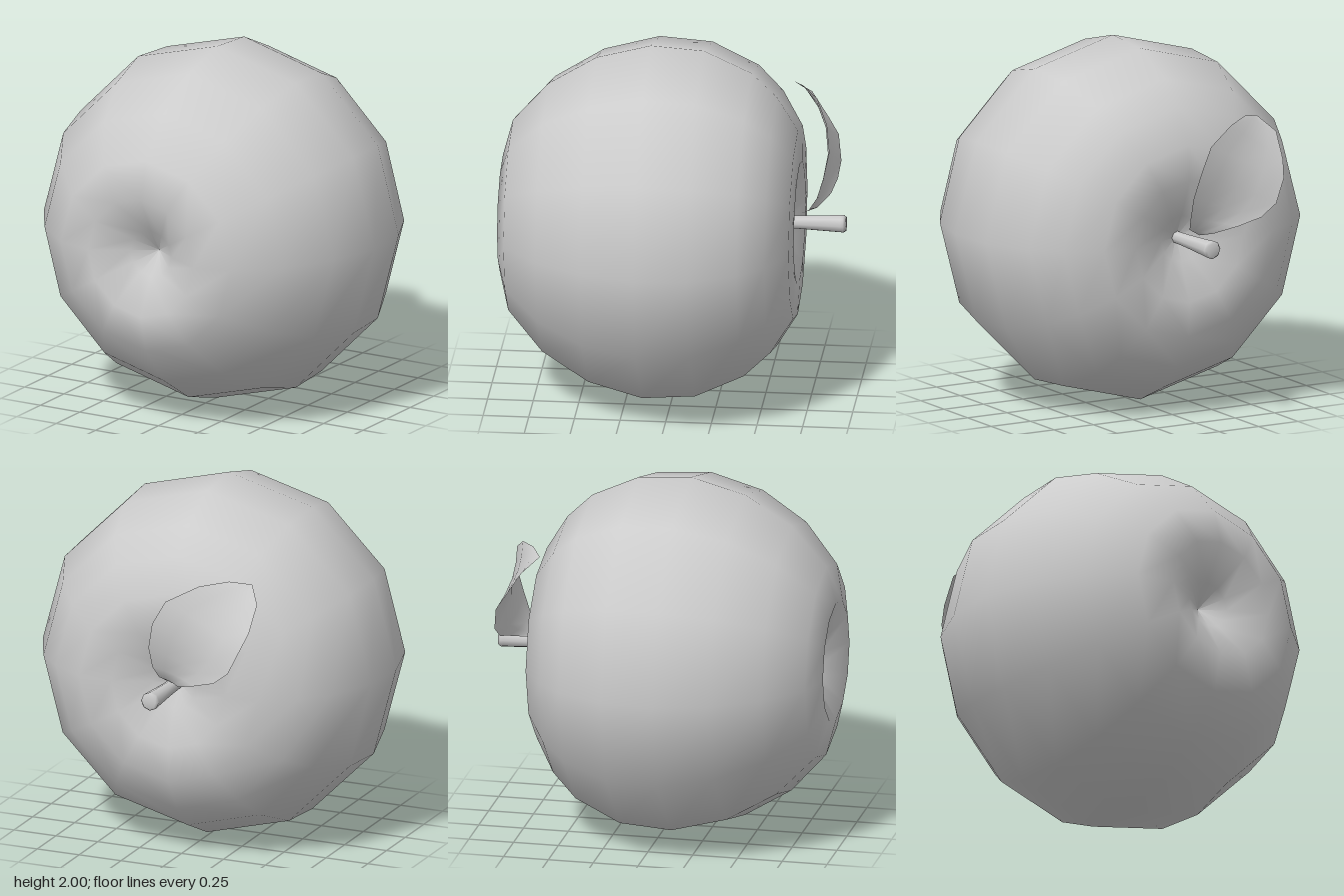
import * as THREE from 'three';

const grey = () => new THREE.MeshStandardMaterial({ color: 0xcccccc, side: THREE.DoubleSide });

// Turns a [radius, z] profile around the z axis, centred at y = 1
function turned(name, profile, sides) {
  const geo = new THREE.LatheGeometry(profile.map(([r, z]) => new THREE.Vector2(r, z)), sides);
  geo.rotateX(Math.PI / 2);
  const mesh = new THREE.Mesh(geo, grey());
  mesh.name = name;
  mesh.position.y = 1;
  return mesh;
}

// Curled leaf: two matching edges, joined across a slightly sunken midrib
function makeLeaf() {
  const base = [-0.06, 1.03, -0.69], tip = [-0.47, 1.64, -0.61];
  const edgeA = [base, [0.03, 1.08, -0.735], [0.05, 1.15, -0.78], [0.055, 1.27, -0.82], [0.02, 1.42, -0.85],
    [-0.05, 1.55, -0.83], [-0.22, 1.64, -0.76], [-0.36, 1.66, -0.67], tip];
  const edgeB = [base, [-0.1, 1.05, -0.77], [-0.22, 1.09, -0.835], [-0.35, 1.13, -0.86], [-0.44, 1.2, -0.87],
    [-0.5, 1.33, -0.85], [-0.53, 1.42, -0.79], [-0.54, 1.56, -0.7], tip];
  const across = 4, pos = [], index = [];
  edgeA.forEach((a, i) => {
    const b = edgeB[i];
    const sink = 0.035 * Math.sin((Math.PI * i) / (edgeA.length - 1));
    for (let j = 0; j <= across; j++) {
      const t = j / across;
      const p = a.map((v, k) => v + (b[k] - v) * t);
      pos.push(p[0], p[1], p[2] + sink * Math.sin(Math.PI * t));
      if (i > 0 && j > 0) {
        const n = i * (across + 1) + j, m = n - across - 1;
        index.push(m - 1, n - 1, n, m - 1, n, m);
      }
    }
  });
  const geo = new THREE.BufferGeometry();
  geo.setAttribute('position', new THREE.Float32BufferAttribute(pos, 3));
  geo.setIndex(index);
  geo.computeVertexNormals();
  const mesh = new THREE.Mesh(geo, grey());
  mesh.name = 'leaf';
  return mesh;
}

export function createModel() {
  const group = new THREE.Group();
  group.name = 'apple';

  // Fruit lying on its side, stem end to the back, dimple at each end
  group.add(turned('fruit', [
    [0, -0.54], [0.13, -0.6], [0.34, -0.685], [0.535, -0.675], [0.725, -0.56], [0.86, -0.42],
    [0.98, -0.16], [1, 0.13], [0.92, 0.43], [0.76, 0.69], [0.54, 0.885], [0.335, 0.94],
    [0.13, 0.83], [0, 0.74],
  ], 12));

  // Stem, widening a little towards its bevelled end
  group.add(turned('stem', [
    [0, -0.94], [0.04, -0.94], [0.052, -0.925], [0.05, -0.91], [0.038, -0.68], [0.034, -0.52],
  ], 8));

  group.add(makeLeaf());
  return group;
}
